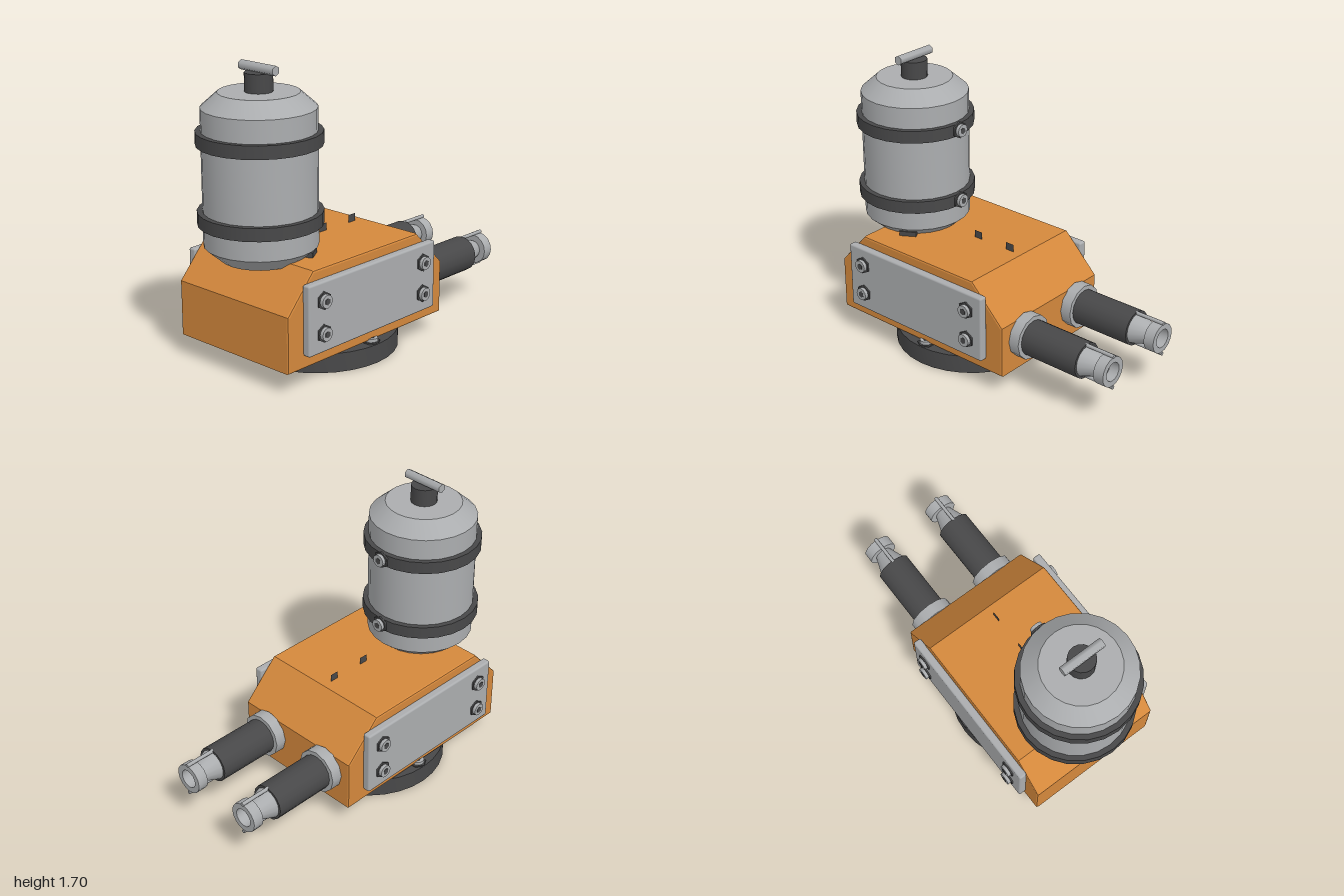
import * as THREE from 'three';
import { toCreasedNormals } from 'three/addons/utils/BufferGeometryUtils.js';
import { RoundedBoxGeometry } from 'three/addons/geometries/RoundedBoxGeometry.js';

const paint = (name, color, extra = {}) => {
  const m = new THREE.MeshStandardMaterial({ color, ...extra });
  m.name = name;
  return m;
};

export function createModel() {
  const model = new THREE.Group();
  model.name = 'pumpUnit';
  const orange = paint('orangePaint', 0xd4883c);
  const steel = paint('lightSteel', 0xabadaf);
  const rubber = paint('darkRubber', 0x484849);
  const darkSheet = paint('darkSheet', 0x484849, { side: THREE.DoubleSide });

  const add = (parent, name, geo, mat, x = 0, y = 0, z = 0) => {
    const mesh = new THREE.Mesh(geo, mat);
    mesh.name = name;
    mesh.position.set(x, y, z);
    parent.add(mesh);
    return mesh;
  };
  const cyl = (r, h, sides) => new THREE.CylinderGeometry(r, r, h, sides);
  const lathe = (pts, sides) => toCreasedNormals(
    new THREE.LatheGeometry(pts.map(p => new THREE.Vector2(...p)), sides), 0.6);

  // Bolt pointing along +z: hex flange, round head, hex socket
  const bolt = (name, x, y, z) => {
    const g = new THREE.Group();
    g.name = name;
    const disc = (part, r, h, sides, mat, at) =>
      add(g, part, cyl(r, h, sides).rotateX(Math.PI / 2), mat, 0, 0, at);
    disc('boltFlange', 0.052, 0.012, 6, rubber, 0.004);
    disc('boltHead', 0.038, 0.03, 12, steel, 0.015);
    disc('boltSocket', 0.02, 0.004, 6, rubber, 0.03);
    g.position.set(x, y, z);
    model.add(g);
    return g;
  };

  // Chamfered housing
  const bevel = 0.012;
  const outline = new THREE.Shape([
    [-0.88, 0.125], [0.375, 0.125], [0.375, 0.435], [0.155, 0.655], [-0.69, 0.655], [-0.88, 0.445],
  ].map(p => new THREE.Vector2(...p)));
  const housing = new THREE.ExtrudeGeometry(outline, {
    depth: 0.844 - 2 * bevel, bevelThickness: bevel, bevelSize: bevel, bevelOffset: -bevel, bevelSegments: 2,
  }).translate(0, 0, -0.422 + bevel);
  add(model, 'housing', housing, orange);

  // Side plates with four bolts each
  for (const side of [1, -1]) {
    add(model, 'sidePlate', new RoundedBoxGeometry(1.03, 0.4, 0.05, 2, 0.012), steel, -0.255, 0.4, side * 0.443);
    for (const x of [-0.66, 0.152]) for (const y of [0.31, 0.495]) {
      bolt('sidePlateBolt', x, y, side * 0.467).rotation.y = side > 0 ? 0 : Math.PI;
    }
  }

  // Mounting ring with eight bolts
  const ringX = -0.217;
  add(model, 'baseRing', lathe(
    [[0.36, 0], [0.462, 0], [0.462, 0.11], [0.36, 0.11], [0.36, 0]], 32), rubber, ringX);
  for (let i = 0; i < 8; i++) {
    const a = i * Math.PI / 4;
    bolt('baseBolt', ringX + 0.41 * Math.cos(a), 0.108, 0.41 * Math.sin(a)).rotation.x = -Math.PI / 2;
  }

  // Tank with chamfered ends, straps and strap bolts
  const tankX = -0.656;
  add(model, 'tank', lathe(
    [[0, 0.625], [0.222, 0.625], [0.314, 0.705], [0.314, 1.465], [0.222, 1.547], [0, 1.547]], 24), steel, tankX);
  for (const y of [0.862, 1.302]) {
    add(model, 'tankStrap', cyl(0.344, 0.074, 24), rubber, tankX, y);
    bolt('strapBolt', -0.312, y, 0).rotation.y = Math.PI / 2;
  }
  const lug = add(model, 'tankLug', new THREE.BoxGeometry(0.1, 0.03, 0.04), rubber, -0.51, 0.668, 0.235);
  lug.rotation.y = 0.54;

  // Tank cap and turning handle
  add(model, 'capStem', cyl(0.077, 0.11, 16), rubber, tankX, 1.595);
  add(model, 'capHandle', cyl(0.028, 0.26, 6).rotateX(Math.PI / 2), steel, tankX, 1.672);

  // Thin upright tabs on the housing top
  for (const x of [-0.17, 0.07]) {
    add(model, 'topTab', new THREE.PlaneGeometry(0.055, 0.05), darkSheet, x, 0.675, 0);
  }

  // Pair of outlets: collar, sleeve, hollow tip and two guide rods
  const alongX = geo => geo.rotateZ(-Math.PI / 2);
  for (const z of [-0.23, 0.23]) {
    const outlet = new THREE.Group();
    outlet.name = 'outlet';
    outlet.position.set(0, 0.325, z);
    add(outlet, 'outletCollar', alongX(cyl(0.133, 0.07, 12)), steel, 0.407);
    add(outlet, 'outletSleeve', alongX(cyl(0.106, 0.38, 16)), rubber, 0.628);
    add(outlet, 'outletTip', alongX(lathe([
      [0.095, 0.81], [0.052, 0.93], [0.09, 0.93], [0.09, 0.995], [0.056, 0.995], [0.056, 0.935], [0, 0.935],
    ], 16)), steel);
    for (const s of [1, -1]) {
      add(outlet, 'guideRod', alongX(cyl(0.011, 0.19, 8)), steel, 0.905, s * 0.097);
    }
    model.add(outlet);
  }
  return model;
}
